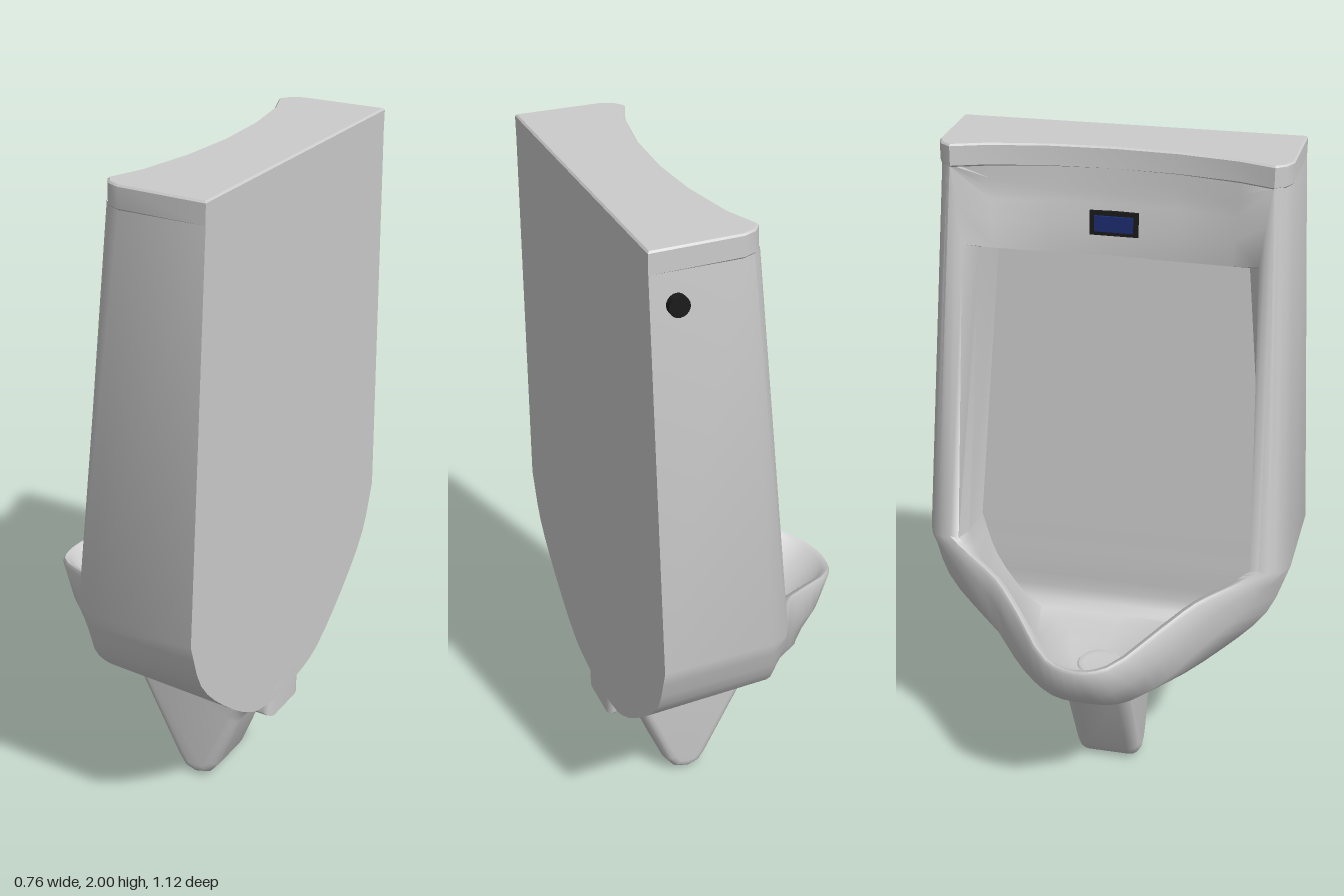
import * as THREE from 'three';
import { toCreasedNormals } from 'three/addons/utils/BufferGeometryUtils.js';

const grey = new THREE.MeshStandardMaterial({ color: 0xcccccc, side: THREE.DoubleSide });
const black = new THREE.MeshStandardMaterial({ color: 0x1a1a1a });
const blue = new THREE.MeshStandardMaterial({ color: 0x1c2c70 });

// Half rings [x, y, z] from top centre, round the corner, down to bottom centre
const back = [[.38, 1.94, 0], [.38, 1.94, .18], [.38, 1.94, .35], [.38, 1.94, .5], [.38, .8, .56],
  [.38, .65, .505], [.38, .515, .38], [.38, .385, .2], [.38, .36, .1], [.38, .355, 0]];
const side = [[.15, 1.94, 0], [.142, 1.94, .18], [.115, 1.94, .35], [.13, 1.94, .49], [.06, .8, .555],
  [.03, .65, .495], [0, .52, .37], [-.06, .41, .21], [-.1, .375, .1], [-.11, .37, 0]];
const belly = [[.15, 1.9, 0], [.142, 1.9, .18], [.115, 1.9, .35], [.095, 1.94, .475], [.01, .8, .535],
  [-.04, .68, .43], [-.11, .57, .31], [-.185, .475, .2], [-.235, .435, .1], [-.245, .43, 0]];
const underLip = [[.15, 1.87, 0], [.142, 1.87, .18], [.115, 1.87, .35], [.08, 1.94, .46], [-.003, .805, .515],
  [-.05, .74, .43], [-.112, .66, .315], [-.2, .58, .22], [-.31, .525, .1], [-.333, .51, 0]];
const lip = [[.15, 1.84, 0], [.14, 1.84, .18], [.113, 1.84, .35], [.07, 1.94, .45], [-.012, .805, .495],
  [-.055, .77, .415], [-.115, .73, .312], [-.2, .68, .225], [-.35, .625, .095], [-.377, .615, 0]];
const rim = [[.145, 1.69, 0], [.135, 1.69, .18], [.105, 1.7, .34], [.06, 1.72, .42], [-.015, .81, .445],
  [-.04, .775, .39], [-.095, .735, .295], [-.185, .685, .205], [-.328, .63, .085], [-.355, .62, 0]];
const wall = [[.21, 1.68, 0], [.205, 1.68, .17], [.19, 1.68, .33], [.16, 1.68, .4], [.12, .76, .455],
  [.09, .63, .385], [.03, .535, .27], [-.08, .485, .165], [-.19, .475, .08], [-.225, .475, 0]];
const floor = [[.25, 1.66, 0], [.25, 1.66, .17], [.25, 1.66, .32], [.25, 1.65, .37], [.25, .755, .45],
  [.25, .61, .405], [.245, .475, .31], [.12, .44, .14], [-.06, .437, .08], [-.11, .437, 0]];

// Rounded crest between the outer lip and the inner rim
const crest = lip.map((p, i) => p.map((v, k) => (v + rim[i][k]) / 2 + [-.007, .007, 0][k]));

const mirror = ([x, y, z]) => [x, y, -z];

// Straight top and sides, with the bowl half smoothed by a curve
function fullRing(half) {
  const low = half.slice(4);
  const points = [...low, ...low.slice(0, -1).reverse().map(mirror)];
  const curve = new THREE.CatmullRomCurve3(points.map(p => new THREE.Vector3(...p)));
  const bowl = curve.getPoints(30).map(v => v.toArray());
  return [...half.slice(0, 4), ...bowl, ...half.slice(1, 4).reverse().map(mirror)];
}

// Shell skinned through the rings, closed flat at both ends
function shell(halfRings) {
  const rings = halfRings.map(fullRing);
  const flat = ring => ring.map(([x, y]) => [x, y, 0]);
  rings.unshift(flat(rings[0]));
  rings.push(flat(rings.at(-1)));
  const n = rings[0].length, pos = [];
  for (let r = 0; r < rings.length - 1; r++) {
    for (let i = 0; i < n; i++) {
      const j = (i + 1) % n;
      const a = rings[r][i], b = rings[r + 1][i], c = rings[r + 1][j], d = rings[r][j];
      pos.push(...a, ...b, ...c, ...a, ...c, ...d);
    }
  }
  const geo = new THREE.BufferGeometry();
  geo.setAttribute('position', new THREE.Float32BufferAttribute(pos, 3));
  return toCreasedNormals(geo, 1);
}

export function createModel() {
  const group = new THREE.Group();
  const add = (name, geo, mat, x = 0, y = 0, z = 0) => {
    const mesh = new THREE.Mesh(geo, mat);
    mesh.name = name;
    mesh.position.set(x, y, z);
    group.add(mesh);
    return mesh;
  };

  add('basinBody', shell([back, side, belly, underLip, lip, crest, rim, wall, floor]), grey);

  // Lid with a hollow curved front
  const front = [[.13, .495], [.095, .48], [.073, .45], [.11, .35], [.14, .18], [.15, 0]];
  const edge = [...front, ...front.slice(0, -1).reverse().map(([x, z]) => [x, -z])];
  const lidShape = new THREE.Shape([[.38, .5], ...edge, [.38, -.5]].map(p => new THREE.Vector2(...p)));
  const lidGeo = new THREE.ExtrudeGeometry(lidShape, {
    depth: .055, bevelThickness: .005, bevelSize: .005, bevelOffset: -.005, bevelSegments: 1 });
  lidGeo.rotateX(Math.PI / 2);
  add('lid', toCreasedNormals(lidGeo, 0.6), grey, 0, 1.995, 0);

  // Tapered outlet trap under the bowl
  const trapShape = new THREE.Shape([[-.125, .4], [-.105, .36], [.06, .05], [.085, .015], [.125, .002],
    [.17, .015], [.2, .055], [.27, .24], [.285, .275], [.31, .295], [.38, .295], [.38, .4]]
    .map(p => new THREE.Vector2(...p)));
  const trapGeo = new THREE.ExtrudeGeometry(trapShape, {
    depth: .13, bevelThickness: .037, bevelSize: .032, bevelOffset: -.032, bevelSegments: 4 });
  add('trap', toCreasedNormals(trapGeo, 0.8), grey, 0, 0, -.065);

  // Drain dish on the bowl floor
  const dish = [[0, .004], [.05, .004], [.064, .008], [.07, 0]].map(p => new THREE.Vector2(...p));
  add('drain', new THREE.LatheGeometry(dish, 32), grey, -.04, .438, 0);

  // Sensor window on the top bar
  add('sensorFrame', new THREE.BoxGeometry(.03, .07, .14), black, .151, 1.785, 0);
  add('sensorWindow', new THREE.BoxGeometry(.01, .045, .11), blue, .134, 1.785, 0);

  // Flush button on the side
  const button = add('flushButton', new THREE.CylinderGeometry(.028, .028, .025, 20), black, .31, 1.855, -.51);
  button.rotation.x = Math.PI / 2;
  return group;
}
